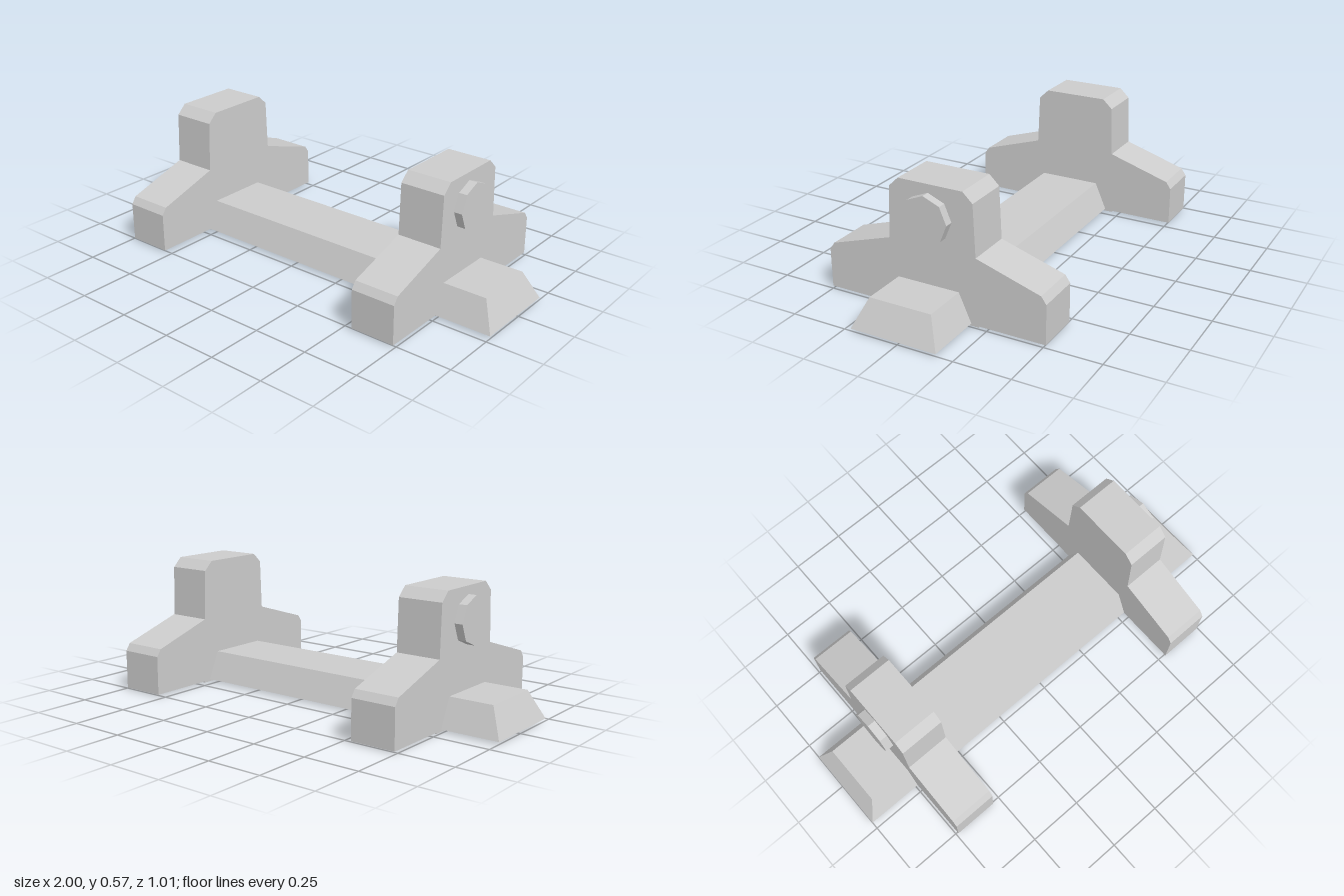
import * as THREE from 'three';

export function createModel() {
  const grey = new THREE.MeshStandardMaterial({ color: 0xcccccc });
  grey.name = 'plain grey';
  grey.flatShading = true;

  const model = new THREE.Group();
  model.name = 'cradleStand';
  const add = (name, geometry, parent = model) => {
    const mesh = new THREE.Mesh(geometry, grey);
    mesh.name = name;
    parent.add(mesh);
    return mesh;
  };

  // Long base beam: a box whose top is drawn in on all four sides
  const beam = new THREE.BoxGeometry(2, 0.125, 0.395);
  const pos = beam.attributes.position;
  for (let i = 0; i < pos.count; i++) {
    if (pos.getY(i) > 0) {
      pos.setX(i, Math.sign(pos.getX(i)) * 0.94);
      pos.setZ(i, Math.sign(pos.getZ(i)) * 0.1425);
    }
  }
  beam.translate(0, 0.0725, 0.0225);
  beam.computeVertexNormals();
  add('baseBeam', beam);

  // Half profile of a support (z, y), from the raised foot up to the chamfered top
  const half = [
    [0.21, 0], [0.21, 0.006], [0.507, 0.006], [0.507, 0.18],
    [0.485, 0.212], [0.2, 0.302], [0.191, 0.528], [0.147, 0.57],
  ];
  const outline = [...half, ...half.map(([z, y]) => [-z, y]).reverse()];
  const shape = new THREE.Shape(outline.map(([z, y]) => new THREE.Vector2(z, y)));
  const thickness = 0.203;
  const supportGeometry = new THREE.ExtrudeGeometry(shape, { depth: thickness, bevelEnabled: false });
  supportGeometry.translate(0, 0, -thickness / 2).rotateY(-Math.PI / 2);

  // Eight-sided bolt head on the outer face
  const boltGeometry = new THREE.CylinderGeometry(0.104, 0.104, 0.06, 8);
  boltGeometry.rotateZ(Math.PI / 2);

  for (const [side, s] of [['left', 1], ['right', -1]]) {
    const group = new THREE.Group();
    group.name = side + 'SupportGroup';
    model.add(group);
    add(side + 'Support', supportGeometry, group).position.x = s * 0.6385;
    add(side + 'Bolt', boltGeometry, group).position.set(s * 0.747, 0.43, 0.009);
  }
  return model;
}
